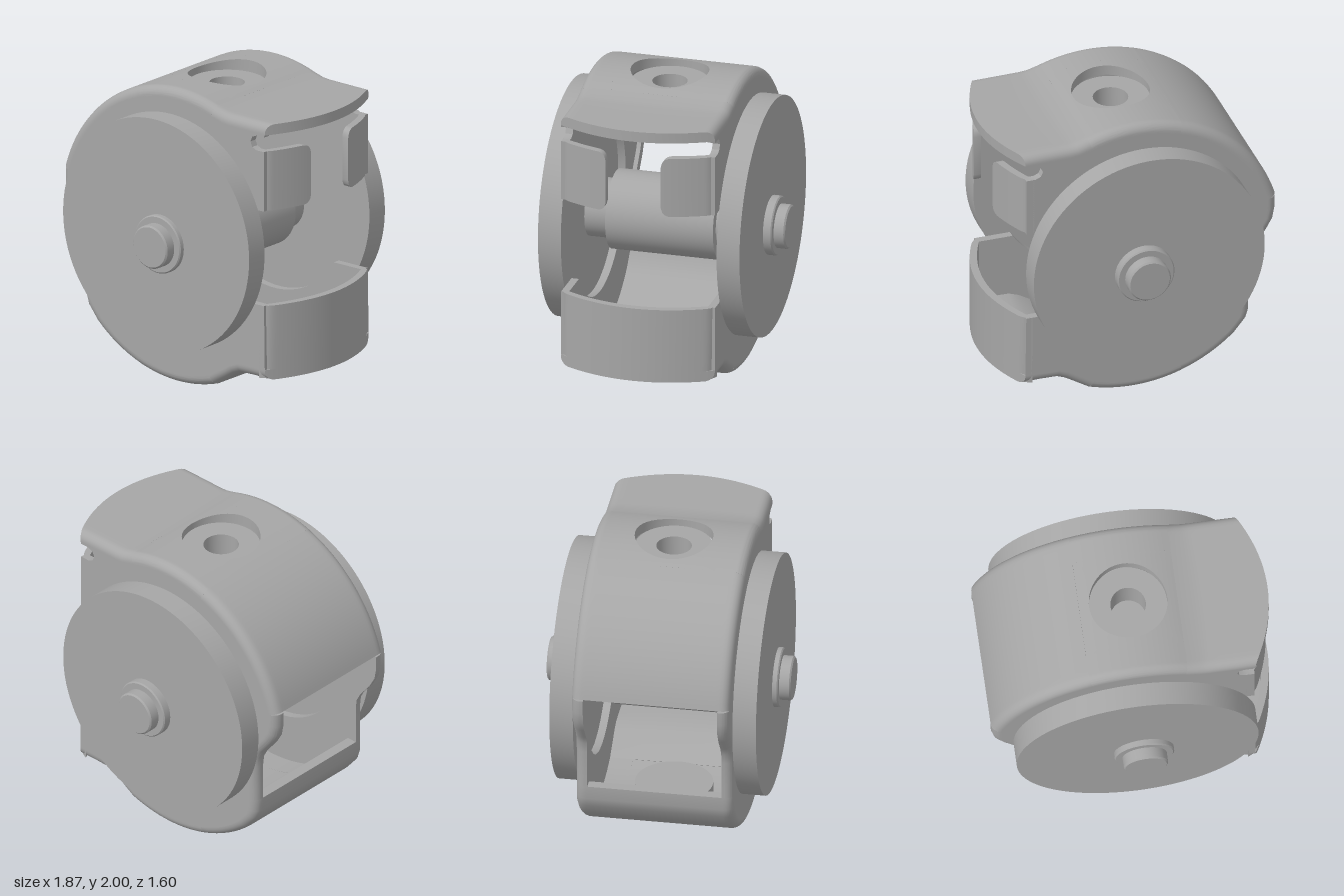
import * as THREE from 'three';
import { toCreasedNormals } from 'three/addons/utils/BufferGeometryUtils.js';

const H = 0.518, ZC = 0.0155;   // housing half width and its middle
const R = 0.06, T = 0.07;       // edge rounding and shell thickness
const HOLE = 0.255, PATCH = 0.32, CX = 0.02;

const grey = new THREE.MeshStandardMaterial({ color: 0xa6a6a6, side: THREE.DoubleSide });
grey.name = 'grey';

// the open end is bowed: points beyond x = 0.4 are pulled back towards the sides
const warp = (x, s) => (x > 0.4 ? 0.4 + (x - 0.4) * (1 - 0.28 * (s / H) ** 2) : x);
// drop of the rounded long edges
const drop = (s) => {
  const e = Math.min(R, Math.max(0, Math.abs(s) - (H - R)));
  return R - Math.sqrt(R * R - e * e);
};

function arc(a0, a1, n, r = 1) {
  return Array.from({ length: n + 1 }, (_, i) => {
    const a = THREE.MathUtils.degToRad(a0 + ((a1 - a0) * i) / n);
    return [CX + r * Math.cos(a), 1 + r * Math.sin(a)];
  });
}

// surface from a rule f(i, j) -> [x, y, z]
function surface(nu, nv, f) {
  const pos = [], idx = [];
  for (let i = 0; i <= nu; i++) for (let j = 0; j <= nv; j++) pos.push(...f(i, j));
  for (let i = 0; i < nu; i++) {
    for (let j = 0; j < nv; j++) {
      const a = i * (nv + 1) + j, b = a + nv + 1;
      idx.push(a, b, a + 1, b, b + 1, a + 1);
    }
  }
  const g = new THREE.BufferGeometry();
  g.setAttribute('position', new THREE.Float32BufferAttribute(pos, 3));
  g.setIndex(idx);
  return g;
}

// profile points with inward normals
function withNormals(pts, side) {
  return pts.map(([x, y], i) => {
    const p = pts[Math.max(0, i - 1)], q = pts[Math.min(pts.length - 1, i + 1)];
    const dx = q[0] - p[0], dy = q[1] - p[1], l = Math.hypot(dx, dy);
    return { x, y, nx: (side * dy) / l, ny: (-side * dx) / l };
  });
}

// curved shell strip between profile points i0..i1 and widths a..b
function strip(prof, i0, i1, a, b) {
  const n = 36, loop = [];
  for (let k = 0; k <= n; k++) {
    const s = a + ((b - a) * (1 - Math.cos((Math.PI * k) / n))) / 2;
    loop.push([s, drop(s)]);
  }
  for (let k = n; k >= 0; k--) loop.push([loop[k][0], T]);
  loop.push(loop[0]);
  const count = i1 - i0;
  return surface(count + 2, loop.length - 1, (i, j) => {
    const p = prof[i0 + Math.min(count, Math.max(0, i - 1))];
    const [s, d0] = loop[j];
    const d = i === 0 || i === count + 2 ? T : d0;   // closes the ends
    return [warp(p.x + p.nx * d, s), p.y + p.ny * d, s + ZC];
  });
}

// curved square patch with a round hole; dir = 1 top, -1 bottom
function holePatch(dir) {
  const m = 6;
  return surface(64, 2 * m + 1, (i, j) => {
    const a = (i / 64) * Math.PI * 2, c = Math.cos(a), s = Math.sin(a);
    const w = j <= m ? 1 - j / m : (j - m - 1) / m;
    const r = HOLE + (PATCH / Math.max(Math.abs(c), Math.abs(s)) - HOLE) * w;
    const x = r * c;
    const y = Math.sqrt(1 - x * x) - (j <= m ? 0 : T);
    return [CX + x, 1 + dir * y, ZC + r * s];
  });
}

// bowed end wall between heights y0..y1 and widths a..b, inner corners rounded by r
function endWall(x, y0, y1, a, b, r) {
  const g = new THREE.BoxGeometry(1, 1, 1, 1, 1, 40);
  const p = g.attributes.position;
  for (let i = 0; i < p.count; i++) {
    const s = a + (b - a) * (p.getZ(i) + 0.5);
    const e = Math.min(r, s - a);
    const cut = r ? r - Math.sqrt(Math.max(0, r * r - (r - e) ** 2)) : 0;
    const y = p.getY(i) < 0 ? y0 + cut : y1 - cut;
    const depth = p.getX(i) > 0 ? drop(s) * 0.7 : 0.05;
    p.setXYZ(i, warp(x, s) - depth, y, s + ZC);
  }
  return g;
}

export function createModel() {
  const model = new THREE.Group();
  model.name = 'twinWheelCaster';
  const add = (name, geo, parent = model) => {
    const mesh = new THREE.Mesh(toCreasedNormals(geo, 0.55), grey);
    mesh.name = name;
    parent.add(mesh);
    return mesh;
  };
  const lathe = (pts) => new THREE.LatheGeometry(pts.map(([x, y]) => new THREE.Vector2(x, y)), 64);

  const housing = new THREE.Group();
  housing.name = 'housing';
  model.add(housing);

  // upper cover: back arc, top with hole, lip
  const top = withNormals([
    ...arc(164, 108.7, 24), ...arc(108.7, 71.3, 16).slice(1),
    [0.43, 1.925], [0.5, 1.92], [0.6, 1.92], [0.75, 1.92], [0.93, 1.92]], 1);
  add('upperBack', strip(top, 0, 24, -H, H), housing);
  add('upperLip', strip(top, 40, top.length - 1, -H, H), housing);

  // lower cover: pillars beside the window, arc with hole, toe
  const bottom = withNormals([
    [-0.94, 1.262], [-0.94, 1.17], [-0.925, 1.09], [-0.88, 1.01], [-0.8, 0.91], [-0.768, 0.85],
    [-0.76, 0.78], [-0.76, 0.6], [-0.76, 0.52], [-0.76, 0.43], [-0.74, 0.365],
    ...arc(227, 251.3, 8), ...arc(251.3, 288.7, 16).slice(1),
    [0.45, 0.115], [0.54, 0.157], [0.61, 0.177], [0.75, 0.18], [0.93, 0.18]], -1);
  add('lowerBack', strip(bottom, 8, 19, -H, H), housing);
  add('lowerToe', strip(bottom, 35, bottom.length - 1, -H, H), housing);

  // strips on both sides of the holes and of the window
  for (const [a, b] of [[-H, -PATCH], [PATCH, H]]) {
    add('upperEdge', strip(top, 24, 40, a, b), housing);
    add('lowerEdge', strip(bottom, 19, 35, a, b), housing);
  }
  for (const [a, b] of [[-H, -0.44], [0.44, H]]) add('windowPillar', strip(bottom, 0, 8, a, b), housing);
  add('upperHoleRim', holePatch(1), housing);
  add('lowerHoleRim', holePatch(-1), housing);

  // side walls with slot, open front and round cut-out behind the wheels
  const inset = (p) => [warp(p.x + p.nx * R, H), p.y + p.ny * R];
  const outline = [
    ...top.map(inset),
    [0.775, 1.835], [0.71, 1.835], [0.675, 1.82], [0.66, 1.785], [0.675, 1.75], [0.71, 1.735],
    [0.775, 1.735], [0.775, 1.33],
    ...arc(33, 328, 48, 0.6),
    [0.775, 0.685], ...bottom.map(inset).reverse()];
  const wallShape = new THREE.Shape(outline.map(([x, y]) => new THREE.Vector2(x, y)));
  for (const z of [ZC - H, ZC + H - 0.05]) {
    const g = new THREE.ExtrudeGeometry(wallShape, { depth: 0.05, bevelEnabled: false });
    add('sideWall', g.translate(0, 0, z), housing);
  }

  // bowed end: lower toe wall and a pair of upper flaps
  add('toeWall', endWall(0.93, 0.19, 0.685, -H, H, 0), housing);
  const flap = endWall(0.91, 1.33, 1.735, 0.185, H, 0.06);
  add('flap', flap, housing);
  const mirrored = add('flap', flap, housing);
  mirrored.scale.z = -1;
  mirrored.position.z = 2 * ZC;

  // wheels
  for (const z of [0.611, -0.59]) {
    const g = new THREE.CylinderGeometry(0.79, 0.79, 0.154, 96).rotateX(Math.PI / 2);
    add('wheel', g).position.set(-0.01, 1.037, z);
  }

  // stepped axle with central barrel
  const axle = lathe([
    [0, -0.8], [0.135, -0.8], [0.145, -0.79], [0.145, -0.725], [0.187, -0.725], [0.195, -0.717],
    [0.195, -0.35], [0.262, -0.35], [0.262, 0.375], [0.195, 0.375], [0.195, 0.717],
    [0.187, 0.725], [0.145, 0.725], [0.145, 0.79], [0.135, 0.8], [0, 0.8]]);
  add('axle', axle.rotateX(Math.PI / 2)).position.set(0.03, 0.993, 0);

  // stem socket in the top hole
  add('stemSocket', lathe([
    [0, 1.6], [0.185, 1.6], [0.185, 1.69], [0.22, 1.69], [0.22, 1.745], [0.25, 1.745],
    [0.254, 1.92], [0.115, 1.92], [0.115, 1.68], [0, 1.68]])).position.set(CX, 0, ZC);

  // recessed seat with a bar in the bottom hole
  add('bottomSeat', lathe([
    [0.254, 0.075], [0.15, 0.075], [0.15, 0.13], [0, 0.13], [0, 0.15], [0.254, 0.15],
    [0.254, 0.075]])).position.set(CX, 0, ZC);
  const bar = add('seatBar', new THREE.BoxGeometry(0.29, 0.05, 0.03));
  bar.position.set(CX, 0.105, ZC);
  bar.rotation.y = -Math.PI / 4;

  return model;
}
